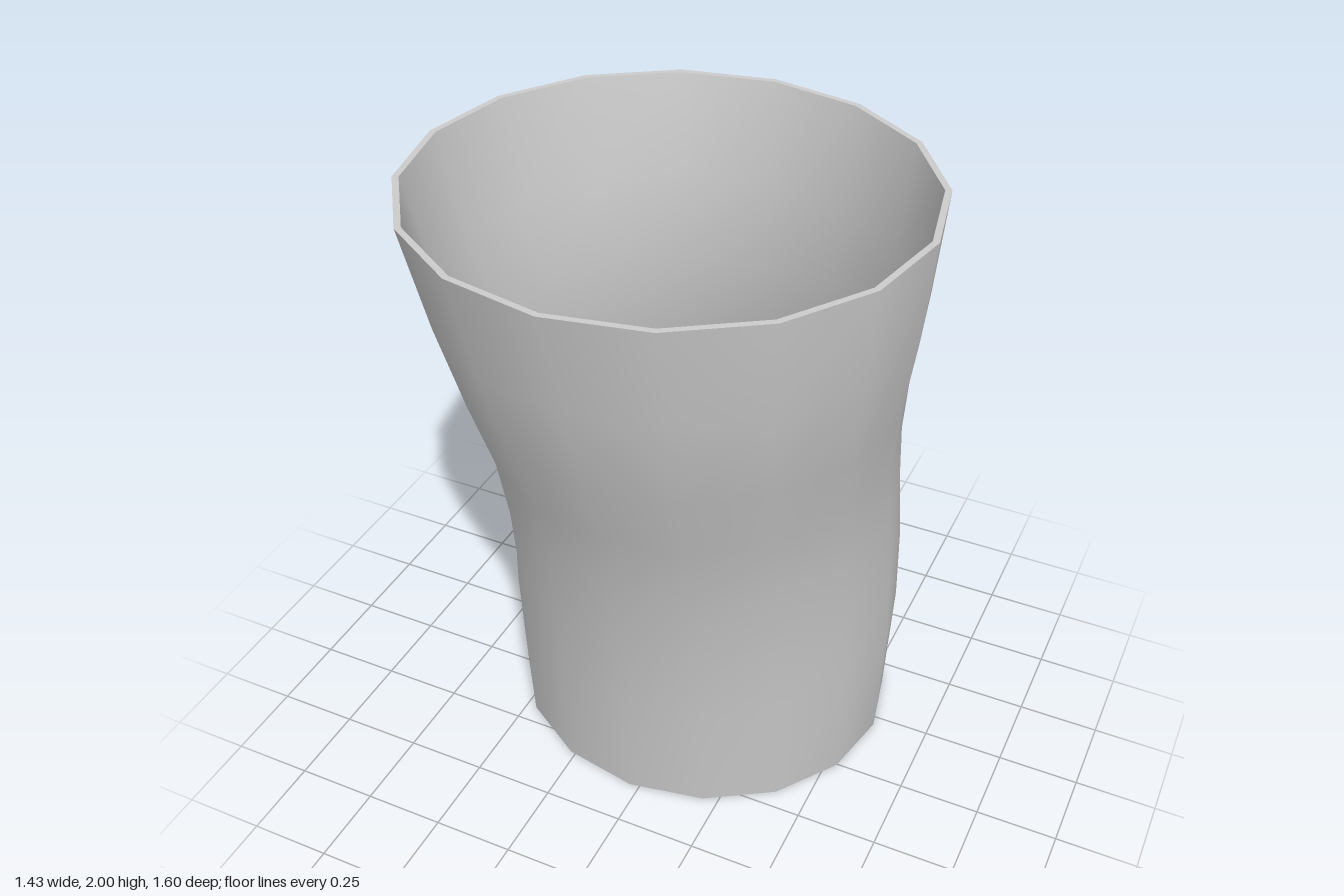
import * as THREE from 'three';

const SIDES = 16;

// Cross-sections from bottom to top: y, right x, left x, back z, front z
const SECTIONS = [
  [0.00, -0.645, 0.580, -0.790, 0.358],
  [0.40, -0.643, 0.598, -0.800, 0.403],
  [0.67, -0.617, 0.598, -0.774, 0.440],
  [0.95, -0.588, 0.598, -0.697, 0.502],
  [1.18, -0.580, 0.610, -0.620, 0.565],
  [1.42, -0.605, 0.640, -0.573, 0.657],
  [1.70, -0.655, 0.685, -0.561, 0.736],
  [2.00, -0.714, 0.712, -0.600, 0.796],
];

// One elliptical ring of points, shrunk inward by inset
function ring([y, x0, x1, z0, z1], inset) {
  const points = [];
  for (let i = 0; i < SIDES; i++) {
    const a = (i / SIDES) * Math.PI * 2;
    points.push(
      (x0 + x1) / 2 + Math.cos(a) * ((x1 - x0) / 2 - inset),
      y,
      (z0 + z1) / 2 + Math.sin(a) * ((z1 - z0) / 2 - inset),
    );
  }
  return points;
}

// Skin joining successive rings, with smooth normals around the seam
function skin(name, rings, material) {
  const index = [];
  for (let r = 0; r < rings.length - 1; r++) {
    for (let i = 0; i < SIDES; i++) {
      const a = r * SIDES + i;
      const b = r * SIDES + ((i + 1) % SIDES);
      index.push(a, a + SIDES, b, b, a + SIDES, b + SIDES);
    }
  }
  const geometry = new THREE.BufferGeometry();
  geometry.setAttribute('position', new THREE.Float32BufferAttribute(rings.flat(), 3));
  geometry.setIndex(index);
  geometry.computeVertexNormals();
  const mesh = new THREE.Mesh(geometry, material);
  mesh.name = name;
  return mesh;
}

export function createModel() {
  const group = new THREE.Group();
  group.name = 'sleeve';
  const material = new THREE.MeshStandardMaterial({ color: 0xcccccc });

  const wall = 0.025;
  const last = SECTIONS.length - 1;
  const outer = SECTIONS.map((s) => ring(s, 0));
  // The wall thins slightly at both openings
  const inner = SECTIONS.map((s, i) => ring(s, i === 0 || i === last ? 0.018 : wall));

  group.add(
    skin('outerWall', outer, material),
    skin('innerWall', [...inner].reverse(), material),
    skin('topRim', [outer[last], inner[last]], material),
    skin('bottomRim', [inner[0], outer[0]], material),
  );
  return group;
}
